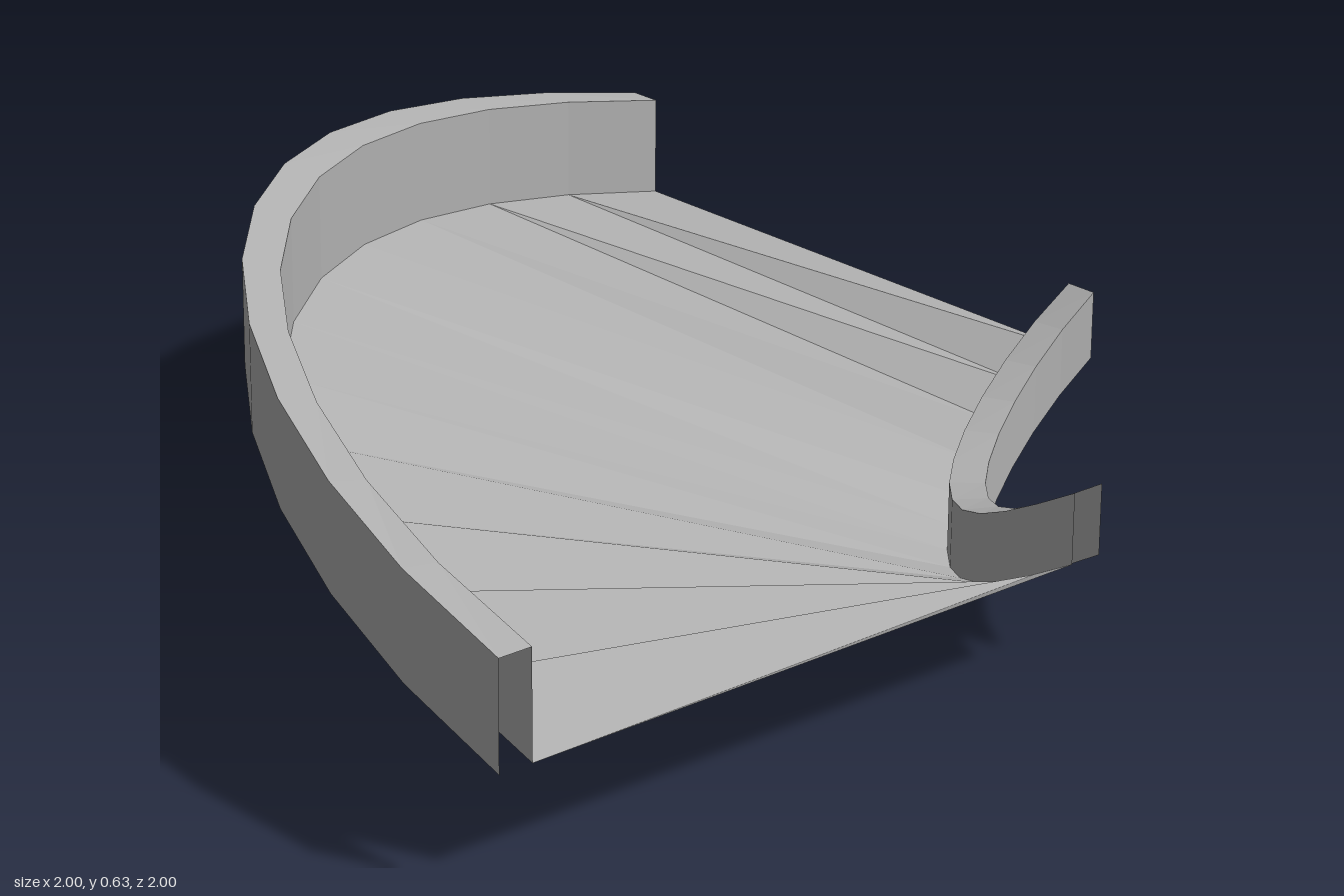
import * as THREE from 'three';

const SEGMENTS = 12;
const BASE = 0.204;
// rails of the curve: radius, and how far each one rises or dips mid-curve
const OUTER_RIM = { r: 2, bank: 0.226 };
const OUTER_EDGE = { r: 1.933, bank: 0.204 };
const INNER_EDGE = { r: 0.733, bank: -0.204 };
const INNER_RIM = { r: 0.667, bank: -0.202 };
const OUTER_HEIGHT = 0.2;
const INNER_HEIGHT = 0.133;

export function createModel() {
  const grey = new THREE.MeshStandardMaterial({ color: 0xb0b0b0, side: THREE.DoubleSide, flatShading: true });
  grey.name = 'grey';
  const model = new THREE.Group();
  model.name = 'bankedCurve';

  // point on a rail, i segments round the quarter turn, lifted by h
  const point = (rail, i, h) => {
    const a = (i / SEGMENTS) * Math.PI / 2;
    return [1 - rail.r * Math.cos(a), BASE + rail.bank * Math.sin(2 * a) + h, 1 - rail.r * Math.sin(a)];
  };

  // ruled strip between two rails
  const strip = (name, railA, hA, railB, hB) => {
    const positions = [];
    for (let i = 0; i < SEGMENTS; i++) {
      const a0 = point(railA, i, hA), a1 = point(railA, i + 1, hA);
      const b0 = point(railB, i, hB), b1 = point(railB, i + 1, hB);
      positions.push(...a0, ...b0, ...b1, ...a0, ...b1, ...a1);
    }
    const geometry = new THREE.BufferGeometry();
    geometry.setAttribute('position', new THREE.Float32BufferAttribute(positions, 3));
    geometry.computeVertexNormals();
    const mesh = new THREE.Mesh(geometry, grey);
    mesh.name = name;
    model.add(mesh);
  };

  // banked floor
  strip('floor', OUTER_EDGE, 0, INNER_EDGE, 0);

  // outer wall, hollow and open below
  strip('outerWallInside', OUTER_EDGE, OUTER_HEIGHT, OUTER_EDGE, 0);
  strip('outerWallTop', OUTER_RIM, OUTER_HEIGHT, OUTER_EDGE, OUTER_HEIGHT);
  strip('outerWallOutside', OUTER_RIM, 0, OUTER_RIM, OUTER_HEIGHT);

  // inner kerb, hollow and open below
  strip('innerKerbInside', INNER_EDGE, 0, INNER_EDGE, INNER_HEIGHT);
  strip('innerKerbTop', INNER_EDGE, INNER_HEIGHT, INNER_RIM, INNER_HEIGHT);
  strip('innerKerbOutside', INNER_RIM, INNER_HEIGHT, INNER_RIM, 0);

  return model;
}
